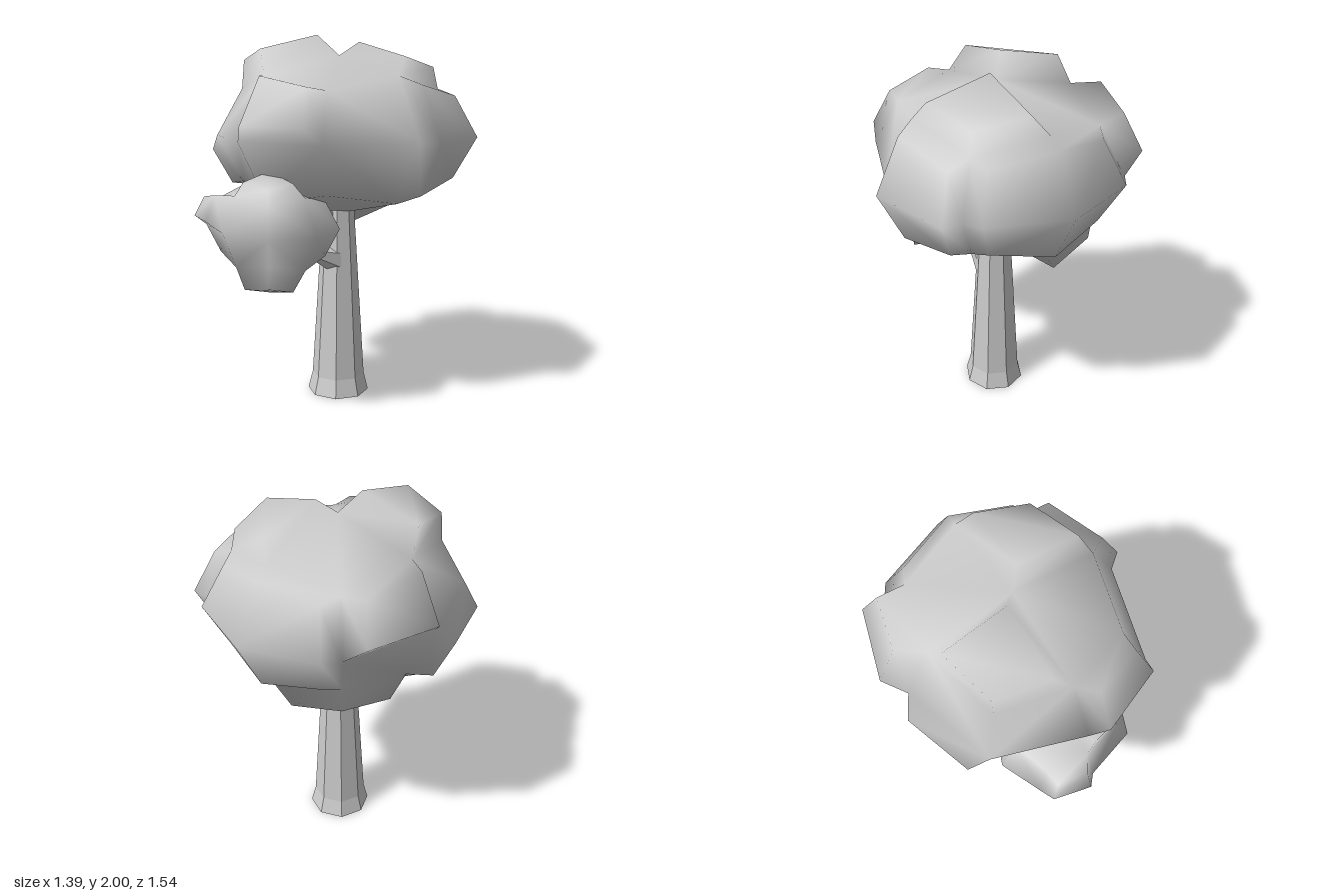
import * as THREE from 'three';

const V = (x, y, z) => new THREE.Vector3(x, y, z);
const flat = new THREE.MeshStandardMaterial({ color: 0xcccccc, flatShading: true });
const smooth = new THREE.MeshStandardMaterial({ color: 0xcccccc });

function add(group, name, geometry, material) {
  const mesh = new THREE.Mesh(geometry, material);
  mesh.name = name;
  group.add(mesh);
  return mesh;
}

// Rounded block of 24 quads (2 x 2 per side) with some patches pushed outward.
// A bump is { axis, signs (0 matches both), inset, push }.
function leafClump(center, radii, bumps) {
  const points = [], index = [], ids = {};
  const vertex = (c) => {
    const key = c.join();
    if (!(key in ids)) {
      const k = [0, 1, 0.75, 0.59][c.filter((n) => n !== 0).length];
      ids[key] = points.push(V(...c).multiplyScalar(k).multiply(radii).add(center)) - 1;
    }
    return ids[key];
  };
  const addQuad = (a, b, c, d) => index.push(a, b, c, a, c, d);
  const regions = bumps.map((bump) => ({ ...bump, quads: [] }));

  for (let axis = 0; axis < 3; axis++) {
    for (let octant = 0; octant < 8; octant++) {
      const signs = [0, 1, 2].map((i) => ((octant >> i) & 1 ? 1 : -1));
      const u = (axis + 1) % 3, v = (axis + 2) % 3;
      const quad = [[0, 0], [1, 0], [1, 1], [0, 1]].map(([a, b]) => {
        const c = [0, 0, 0];
        c[axis] = signs[axis];
        c[u] = a * signs[u];
        c[v] = b * signs[v];
        return vertex(c);
      });
      if (signs[0] * signs[1] * signs[2] < 0) quad.reverse();
      const region = regions.find((r) => r.axis === axis && r.signs.every((s, i) => !s || s === signs[i]));
      if (region) region.quads.push(quad);
      else addQuad(...quad);
    }
  }

  // Inset and raise each patch, then wall in its border
  for (const { quads, inset, push } of regions) {
    const used = [...new Set(quads.flat())];
    const middle = V(0, 0, 0), normal = V(0, 0, 0);
    used.forEach((i) => middle.addScaledVector(points[i], 1 / used.length));
    quads.forEach(([a, b, c, d]) => {
      const across = points[c].clone().sub(points[a]);
      normal.add(across.cross(points[d].clone().sub(points[b])).normalize());
    });
    normal.normalize();
    const raised = {};
    used.forEach((i) => {
      const p = points[i].clone().sub(middle).multiplyScalar(inset).add(middle);
      raised[i] = points.push(p.addScaledVector(normal, push)) - 1;
    });
    const edges = quads.flatMap((q) => q.map((a, i) => [a, q[(i + 1) % 4]]));
    quads.forEach((q) => addQuad(...q.map((i) => raised[i])));
    edges.forEach(([a, b]) => {
      const shared = edges.some(([c, d]) => c === b && d === a);
      if (!shared) addQuad(a, b, raised[b], raised[a]);
    });
  }

  const geometry = new THREE.BufferGeometry().setFromPoints(points);
  geometry.setIndex(index);
  geometry.computeVertexNormals();
  return geometry;
}

// Tapered straight limb between two points
function limb(from, to, r0, r1) {
  const dir = to.clone().sub(from);
  const geometry = new THREE.CylinderGeometry(r1, r0, dir.length(), 6);
  geometry.applyQuaternion(new THREE.Quaternion().setFromUnitVectors(V(0, 1, 0), dir.clone().normalize()));
  const mid = from.clone().add(to).multiplyScalar(0.5);
  return geometry.translate(mid.x, mid.y, mid.z);
}

export function createModel() {
  const tree = new THREE.Group();
  tree.name = 'tree';

  // Eight-sided trunk with a flared foot
  const profile = [[0, 0], [0.172, 0], [0.147, 0.1], [0.085, 1.1], [0, 1.12]];
  const trunk = new THREE.LatheGeometry(profile.map(([r, y]) => new THREE.Vector2(r, y)), 8);
  add(tree, 'trunk', trunk.translate(0, 0, -0.045), flat);

  // Branches reaching forward
  add(tree, 'lowerBranch', limb(V(0.02, 0.78, 0), V(0.02, 0.845, 0.19), 0.075, 0.025), flat);
  add(tree, 'lowerBranchTip', limb(V(0.02, 0.84, 0.17), V(0.02, 0.87, 0.27), 0.03, 0.008), flat);
  add(tree, 'upperBranch', limb(V(0, 0.98, -0.02), V(0, 1.18, 0.22), 0.05, 0.025), flat);

  // Large crown
  const one = { inset: 0.75, push: 0.14 };
  add(tree, 'crown', leafClump(V(0, 1.46, -0.05), V(0.61, 0.43, 0.66), [
    { axis: 1, signs: [-1, 1, 1], ...one },
    { axis: 1, signs: [1, 1, -1], ...one, push: 0.1 },
    { axis: 1, signs: [-1, -1, -1], ...one, push: 0.13 },
    { axis: 0, signs: [-1, 1, -1], ...one },
    { axis: 0, signs: [-1, -1, 1], ...one, push: 0.12 },
    { axis: 2, signs: [1, 1, 1], ...one, push: 0.1 },
    { axis: 0, signs: [1, 0, -1], inset: 0.86, push: 0.11 },
    { axis: 2, signs: [0, 0, -1], inset: 0.88, push: 0.085 },
  ]), smooth);

  // Small front clump
  const small = { inset: 0.7, push: 0.09 };
  add(tree, 'frontClump', leafClump(V(0, 1.01, 0.41), V(0.375, 0.245, 0.3), [
    { axis: 1, signs: [1, 1, 1], ...small, push: 0.075 },
    { axis: 1, signs: [1, -1, 1], ...small, push: 0.11 },
    { axis: 2, signs: [-1, 1, 1], ...small },
  ]), smooth);

  return tree;
}
